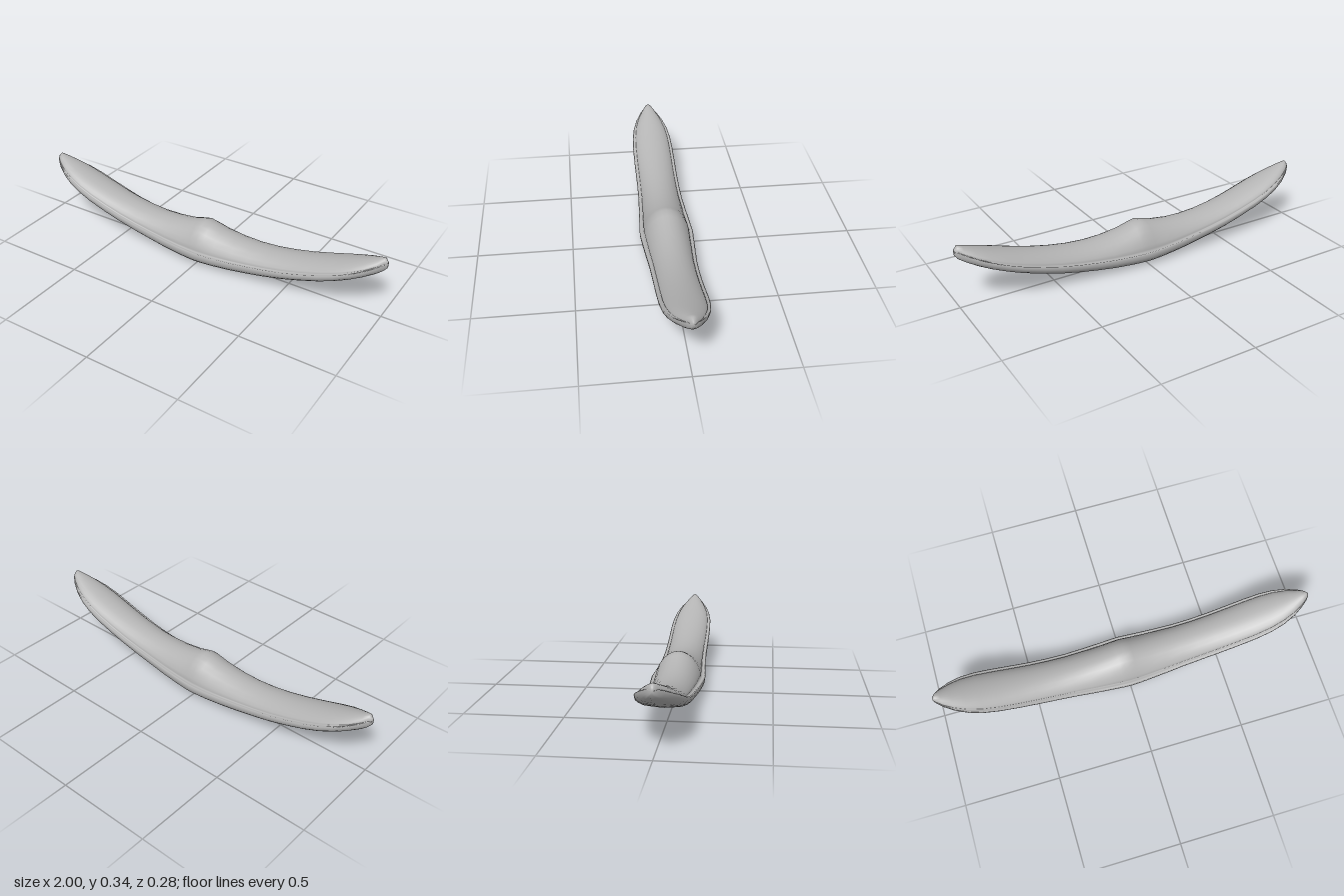
import * as THREE from 'three';

// Half-length stations: x, bottom y, rim y, top y, half width
const STATIONS = [
  [0, 0.0, 0.08, 0.215, 0.142],
  [0.04, 0.001, 0.08, 0.205, 0.14],
  [0.1, 0.004, 0.081, 0.187, 0.136],
  [0.2, 0.013, 0.087, 0.172, 0.129],
  [0.3, 0.027, 0.097, 0.168, 0.122],
  [0.4, 0.046, 0.112, 0.174, 0.119],
  [0.5, 0.07, 0.132, 0.189, 0.118],
  [0.6, 0.1, 0.159, 0.21, 0.118],
  [0.7, 0.134, 0.19, 0.238, 0.117],
  [0.78, 0.165, 0.219, 0.263, 0.112],
  [0.85, 0.194, 0.247, 0.287, 0.099],
  [0.91, 0.222, 0.272, 0.309, 0.077],
  [0.96, 0.248, 0.295, 0.327, 0.048],
  [0.985, 0.264, 0.307, 0.335, 0.027],
  [1.0, 0.283, 0.306, 0.318, 0.01],
];

// Domed top: fraction of half width, fraction of height from rim to top
const DOME = [[0, 1], [0.18, 0.97], [0.36, 0.88], [0.54, 0.72], [0.7, 0.48], [0.8, 0.24], [0.84, 0.08], [0.83, -0.02]];
// Hull with raised rim: fraction of half width, fraction of height from bottom to rim
const HULL = [[0.9, 0.96], [0.96, 1], [1, 0.92], [0.99, 0.7], [0.95, 0.48], [0.84, 0.28], [0.68, 0.14], [0.35, 0.06], [0, 0]];

// Closed cross-section at one station, from the top round by +z to the bottom and back
function crossSection([, bottom, rim, top, width]) {
  const half = [
    ...DOME.map(([u, v]) => [u * width, rim + v * (top - rim)]),
    ...HULL.map(([u, v]) => [u * width, bottom + v * (rim - bottom)]),
  ];
  const mirrored = half.slice(1, -1).reverse().map(([z, y]) => [-z, y]);
  return [...half, ...mirrored];
}

function curvedBody() {
  const last = STATIONS.length - 1;
  const positions = [];
  const indices = [];
  const ringSize = 2 * (DOME.length + HULL.length) - 2;

  // Loft both mirrored halves as one skin
  for (let s = -last; s <= last; s++) {
    const station = STATIONS[Math.abs(s)];
    const x = Math.sign(s) * station[0];
    for (const [z, y] of crossSection(station)) positions.push(x, y, z);
  }
  for (let i = 0; i < 2 * last; i++) {
    for (let j = 0; j < ringSize; j++) {
      const k = (j + 1) % ringSize;
      const a = i * ringSize + j, b = i * ringSize + k;
      const c = a + ringSize, d = b + ringSize;
      indices.push(a, b, c, b, d, c);
    }
  }

  // Close the tips
  const [tipX, bottom, , top] = STATIONS[last];
  for (const side of [-1, 1]) {
    const centre = positions.length / 3;
    positions.push(side * tipX, (bottom + top) / 2, 0);
    const start = side < 0 ? 0 : 2 * last * ringSize;
    for (let j = 0; j < ringSize; j++) {
      const a = start + j, b = start + (j + 1) % ringSize;
      if (side > 0) indices.push(centre, a, b);
      else indices.push(centre, b, a);
    }
  }

  const geometry = new THREE.BufferGeometry();
  geometry.setAttribute('position', new THREE.Float32BufferAttribute(positions, 3));
  geometry.setIndex(indices);
  geometry.computeVertexNormals();
  return geometry;
}

export function createModel() {
  const group = new THREE.Group();
  group.name = 'curvedBar';
  const grey = new THREE.MeshStandardMaterial({ color: 0xb4b4b4 });
  grey.name = 'grey';
  const body = new THREE.Mesh(curvedBody(), grey);
  body.name = 'curvedBody';
  group.add(body);
  return group;
}
